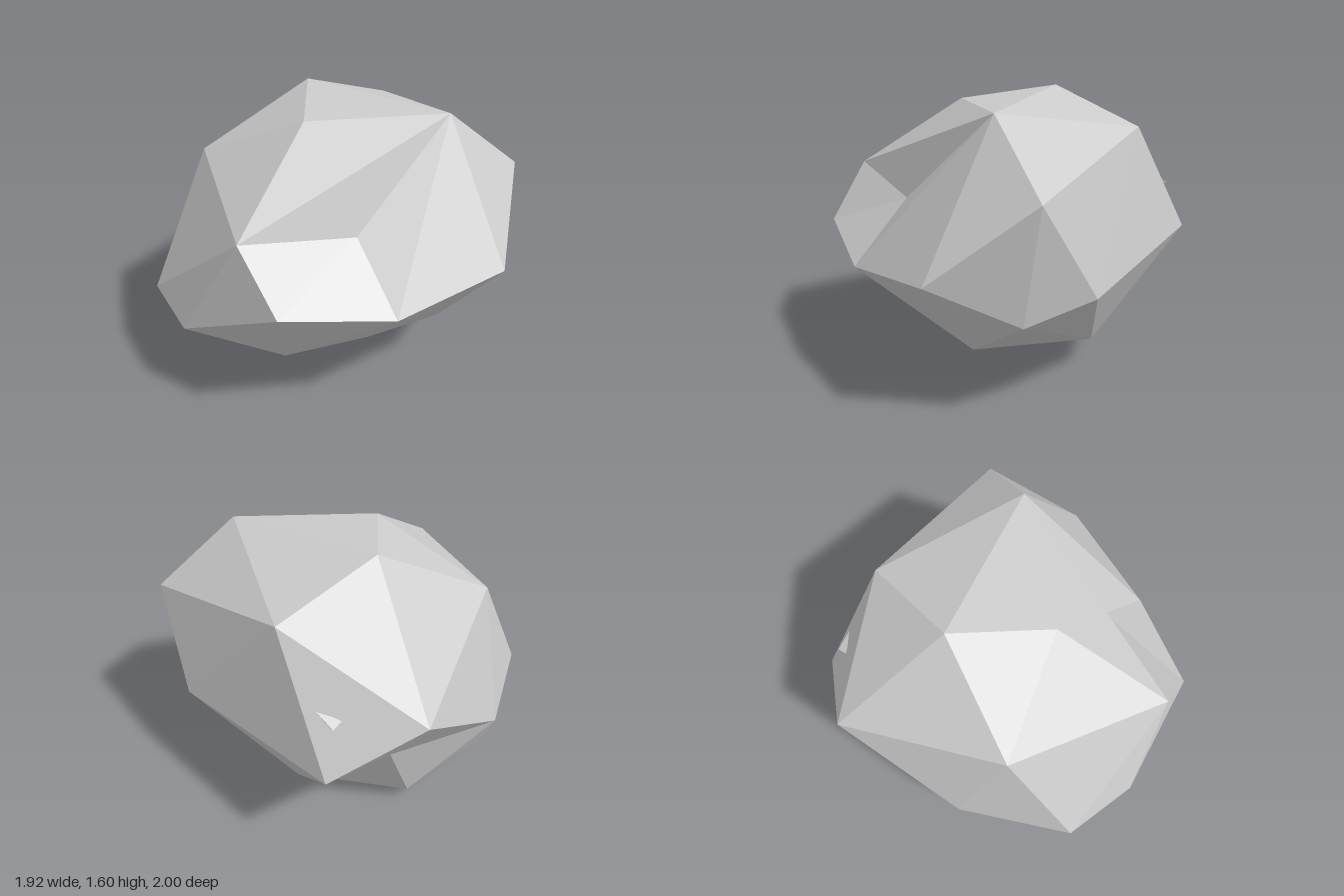
import * as THREE from 'three';
import { ConvexGeometry } from 'three/addons/geometries/ConvexGeometry.js';

const stone = new THREE.MeshStandardMaterial({ color: 0xcccccc, flatShading: true });
const toVectors = (list) => list.map((p) => new THREE.Vector3(...p));

// Faceted hull of the corners; each dent is a corner wrapped at `from`, then pressed in to `to`.
function facetedStone(name, corners, dents = []) {
  const geometry = new ConvexGeometry(toVectors([...corners, ...dents.map((d) => d.from)]));
  const pos = geometry.attributes.position;
  const v = new THREE.Vector3();
  for (const { from, to } of dents) {
    const start = new THREE.Vector3(...from);
    for (let i = 0; i < pos.count; i++) {
      if (v.fromBufferAttribute(pos, i).distanceTo(start) < 1e-4) pos.setXYZ(i, ...to);
    }
  }
  geometry.computeVertexNormals();
  const mesh = new THREE.Mesh(geometry, stone);
  mesh.name = name;
  return mesh;
}

export function createModel() {
  const group = new THREE.Group();
  group.name = 'rock';

  // Corners of the boulder, in bands from the crown to the foot
  const crown = [
    [0.17, 1.6, -0.35], [0.445, 1.55, 0.52], [-0.2, 1.53, 0.065],
    [0.76, 1.42, -0.3], [-0.445, 1.25, -0.565],
  ];
  const shoulder = [
    [0.865, 1.205, 0.68], [-0.82, 1.11, 0.305], [0.415, 1.06, -1],
    [0.42, 0.795, 1], [-0.795, 0.8, 0.58], [0.84, 0.78, -0.75],
  ];
  const waist = [
    [-0.25, 0.7, 0.86], [0.96, 0.685, 0.35], [0.76, 0.58, 0.67],
    [-0.305, 0.545, -0.85], [-0.88, 0.51, -0.5], [-0.965, 0.49, -0.05],
  ];
  const foot = [
    [0.375, 0.32, 0.605], [0, 0.215, 0.395], [-0.475, 0.21, -0.685],
    [-0.47, 0.2, 0.2], [0.605, 0.17, -0.165], [-0.54, 0.155, -0.33],
    [0.15, 0.105, -0.63], [0.08, 0, -0.275],
  ];

  // Hollows in the front slope and under the back overhang
  const dents = [
    { from: [-0.21, 1.1, 0.605], to: [-0.21, 1.02, 0.505] },
    { from: [0.58, 0.56, -0.81], to: [0.385, 0.637, -0.715] },
  ];
  group.add(facetedStone('boulder', [...crown, ...shoulder, ...waist, ...foot], dents));

  // Small chip standing out of the back right slope
  group.add(facetedStone('chip', [
    [0.76, 1.09, -0.59], [0.745, 1.04, -0.7], [0.68, 1.06, -0.69], [0.735, 1.025, -0.64],
  ]));
  return group;
}
